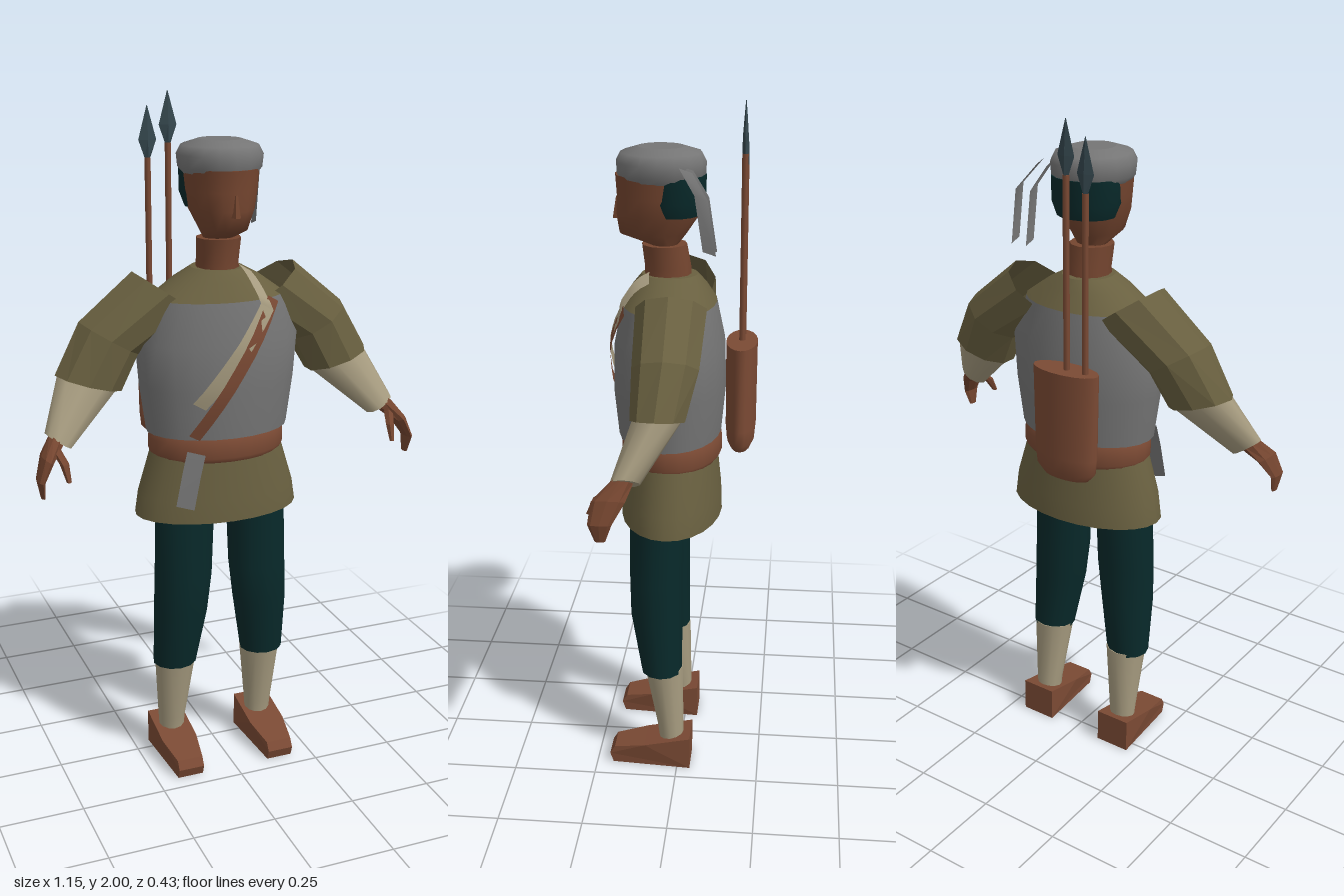
import * as THREE from 'three';

const paint = (name, color) => {
  const m = new THREE.MeshStandardMaterial({ color, side: THREE.DoubleSide });
  m.name = name;
  return m;
};

// Skin over elliptical sections, listed upward: [x, y, z, rx, rz, tilt about z]
function loft(sections, seg = 16, { bottom = true, top = true, flat = false } = {}) {
  const pos = [], idx = [];
  const ring = ([x, y, z, rx, rz, t = 0]) => {
    const start = pos.length / 3;
    for (let i = 0; i < seg; i++) {
      const a = (i / seg) * Math.PI * 2, c = Math.cos(a) * rx;
      pos.push(x + c * Math.cos(t), y + c * Math.sin(t), z + Math.sin(a) * rz);
    }
    return start;
  };
  const starts = sections.map(ring);
  for (let k = 0; k + 1 < starts.length; k++) {
    for (let i = 0; i < seg; i++) {
      const j = (i + 1) % seg, a = starts[k], b = starts[k + 1];
      idx.push(a + i, b + i, a + j, b + i, b + j, a + j);
    }
  }
  const cap = (s, up) => {
    const r = ring(s), c = pos.length / 3;
    pos.push(s[0], s[1], s[2]);
    for (let i = 0; i < seg; i++) {
      const j = (i + 1) % seg;
      if (up) idx.push(c, r + j, r + i); else idx.push(c, r + i, r + j);
    }
  };
  if (bottom) cap(sections[0], false);
  if (top) cap(sections[sections.length - 1], true);
  let g = new THREE.BufferGeometry();
  g.setAttribute('position', new THREE.Float32BufferAttribute(pos, 3));
  g.setIndex(idx);
  if (flat) g = g.toNonIndexed();
  g.computeVertexNormals();
  return g;
}

// Flat strip through points, widened by a half-width vector
function ribbon(points, [wx, wy, wz]) {
  const pos = [], idx = [];
  points.forEach(([x, y, z], i) => {
    pos.push(x - wx, y - wy, z - wz, x + wx, y + wy, z + wz);
    if (i) { const a = 2 * i - 2; idx.push(a, a + 2, a + 1, a + 1, a + 2, a + 3); }
  });
  const g = new THREE.BufferGeometry();
  g.setAttribute('position', new THREE.Float32BufferAttribute(pos, 3));
  g.setIndex(idx);
  g.computeVertexNormals();
  return g;
}

export function createModel() {
  const model = new THREE.Group();
  model.name = 'archer';
  const skin = paint('skin brown', 0x74452f), leather = paint('leather brown', 0x7b4a34);
  const grey = paint('vest grey', 0x757575), olive = paint('olive cloth', 0x696040);
  const cream = paint('cream cloth', 0xa79c80), teal = paint('dark teal', 0x08292a);
  const steel = paint('steel', 0x35474e);
  const add = (parent, name, geometry, material) => {
    const m = new THREE.Mesh(geometry, material);
    m.name = name;
    parent.add(m);
    return m;
  };

  // Torso
  const body = [
    [0, 1.06, 0.035, 0.213, 0.15], [0, 1.2, 0.035, 0.232, 0.163], [0, 1.33, 0.035, 0.243, 0.16],
    [0, 1.45, 0.035, 0.2, 0.135], [0, 1.5, 0.035, 0.13, 0.105], [0, 1.53, 0.035, 0.075, 0.08],
  ];
  add(model, 'vest', loft(body.slice(0, 4), 24, { top: false }), grey);
  add(model, 'tunicYoke', loft(body.slice(3), 24, { bottom: false }), olive);
  add(model, 'belt', loft([[0, 0.985, 0.03, 0.195, 0.138], [0, 1, 0.03, 0.205, 0.148],
    [0, 1.04, 0.03, 0.205, 0.148], [0, 1.06, 0.03, 0.195, 0.138]], 24), leather);
  add(model, 'tunicSkirt', loft([[0, 0.805, 0.03, 0.25, 0.15], [0, 0.87, 0.03, 0.24, 0.148],
    [0, 1, 0.03, 0.2, 0.135]], 24, { bottom: false }), olive);

  // Chest straps laid on the front of the torso
  const frontZ = (x, y) => {
    let k = 0;
    while (k < body.length - 2 && body[k + 1][1] < y) k++;
    const a = body[k], b = body[k + 1], f = (y - a[1]) / (b[1] - a[1]);
    const rx = a[3] + (b[3] - a[3]) * f, rz = a[4] + (b[4] - a[4]) * f;
    return 0.047 + rz * Math.sqrt(Math.max(0, 1 - (x / rx) ** 2));
  };
  const strap = (corners, w) => {
    const pts = [];
    for (let k = 0; k + 1 < corners.length; k++) {
      for (let i = 0; i <= 8; i++) {
        const [x, y] = corners[k].map((v, n) => v + (corners[k + 1][n] - v) * i / 8);
        pts.push([x, y, frontZ(x, y)]);
      }
    }
    return ribbon(pts, w);
  };
  add(model, 'creamStrap', strap([[0.065, 1.53], [0.1, 1.43], [-0.11, 1.165]], [0.02, -0.012, -0.002]), cream);
  add(model, 'leatherStrap', strap([[0.125, 1.45], [-0.12, 1.07]], [0.017, -0.01, -0.003]), leather);
  add(model, 'beltCloth', ribbon([[-0.12, 1.03, 0.188], [-0.135, 0.97, 0.19], [-0.155, 0.87, 0.19]],
    [0.026, -0.008, 0.004]), grey);

  // Head
  add(model, 'neck', loft([[0, 1.5, 0.04, 0.062, 0.068], [0, 1.55, 0.04, 0.06, 0.066],
    [0, 1.615, 0.05, 0.064, 0.064]], 12), skin);
  add(model, 'head', loft([[0, 1.615, 0.05, 0.045, 0.04], [0, 1.645, 0.082, 0.065, 0.095],
    [0, 1.7, 0.068, 0.09, 0.118], [0, 1.75, 0.063, 0.1, 0.12], [0, 1.81, 0.063, 0.105, 0.124]], 16), skin);
  add(model, 'nose', loft([[0, 1.685, 0.18, 0.014, 0.017], [0, 1.745, 0.178, 0.006, 0.008]], 6, { flat: true }), skin);
  add(model, 'hair', loft([[0, 1.7, 0.025, 0.088, 0.08], [0, 1.74, 0.022, 0.103, 0.088],
    [0, 1.81, 0.022, 0.104, 0.09]], 16), teal);
  add(model, 'cap', loft([[0, 1.79, 0.058, 0.1, 0.112], [0, 1.81, 0.058, 0.116, 0.124],
    [0, 1.845, 0.058, 0.12, 0.126], [0, 1.87, 0.058, 0.107, 0.113], [0, 1.885, 0.058, 0.06, 0.065]], 16), grey);
  for (const [x0, x1] of [[0.09, 0.115], [0.125, 0.165]]) {
    add(model, 'capRibbon', ribbon([[x0, 1.84, -0.02], [x1, 1.775, -0.065], [x1, 1.625, -0.088]],
      [0, 0.006, 0.018]), grey);
  }

  // Limbs, built on the left and mirrored
  const shoeShape = new THREE.Shape([[-0.04, 0], [0.2, 0], [0.21, 0.03], [0.195, 0.055], [0.1, 0.075], [-0.04, 0.105]]
    .map(([z, y]) => new THREE.Vector2(z, y)));
  for (const side of [1, -1]) {
    const limbs = new THREE.Group();
    limbs.name = side > 0 ? 'leftLimbs' : 'rightLimbs';
    limbs.scale.x = side;
    model.add(limbs);

    // Arm
    add(limbs, 'sleeve', loft([[0.385, 1.225, 0.03, 0.1, 0.075, 0.3], [0.32, 1.345, 0.015, 0.098, 0.092, 0.55],
      [0.155, 1.465, 0.015, 0.11, 0.1, 0.6]], 9, { flat: true, top: false }), olive);
    add(limbs, 'forearm', loft([[0.497, 1.09, 0.105, 0.045, 0.04, 0.6],
      [0.385, 1.23, 0.03, 0.092, 0.068, 0.3]], 10), cream);
    add(limbs, 'hand', loft([[0.56, 0.95, 0.165, 0.006, 0.014], [0.565, 1, 0.165, 0.011, 0.032, 0.1],
      [0.54, 1.055, 0.145, 0.018, 0.045, 0.5], [0.5, 1.1, 0.11, 0.026, 0.03, 0.7]], 8, { flat: true }), skin);
    add(limbs, 'thumb', loft([[0.495, 1, 0.203, 0.007, 0.008], [0.5, 1.045, 0.178, 0.013, 0.015],
      [0.515, 1.08, 0.135, 0.014, 0.02]], 6, { flat: true }), skin);

    // Leg
    add(limbs, 'trouserLeg', loft([[0.143, 0.32, 0.05, 0.066, 0.062], [0.128, 0.5, 0.066, 0.082, 0.078],
      [0.119, 0.62, 0.067, 0.088, 0.08], [0.11, 0.88, 0.065, 0.09, 0.08]], 12), teal);
    add(limbs, 'sock', loft([[0.145, 0.07, 0.02, 0.038, 0.037], [0.145, 0.12, 0.023, 0.042, 0.04],
      [0.14, 0.33, 0.045, 0.063, 0.059]], 12), cream);

    // Shoe, narrowing toward the toe
    const shoe = new THREE.ExtrudeGeometry(shoeShape, { depth: 0.11, bevelEnabled: false });
    shoe.translate(0, 0, -0.055).rotateY(-Math.PI / 2);
    const p = shoe.attributes.position;
    for (let i = 0; i < p.count; i++) if (p.getZ(i) > 0.15) p.setX(i, p.getX(i) * 0.72);
    shoe.translate(0.147, 0, 0).computeVertexNormals();
    add(limbs, 'shoe', shoe, leather);
  }

  // Quiver with two spears
  add(model, 'quiver', loft([[-0.067, 0.99, -0.17, 0.075, 0.03], [-0.067, 1.015, -0.17, 0.098, 0.041],
    [-0.067, 1.06, -0.17, 0.103, 0.045], [-0.067, 1.315, -0.17, 0.107, 0.046]], 18), leather);
  for (const [x, y] of [[-0.132, 1.815], [-0.07, 1.855]]) {
    const shaft = add(model, 'spearShaft', new THREE.CylinderGeometry(0.009, 0.009, y - 1.05, 6), leather);
    shaft.position.set(x, (y + 1.05) / 2, -0.17);
    add(model, 'spearHead', loft([[x, y, -0.17, 0.009, 0.009], [x, y + 0.05, -0.17, 0.027, 0.008],
      [x, y + 0.145, -0.17, 0.001, 0.001]], 4, { flat: true }), steel);
  }
  return model;
}
